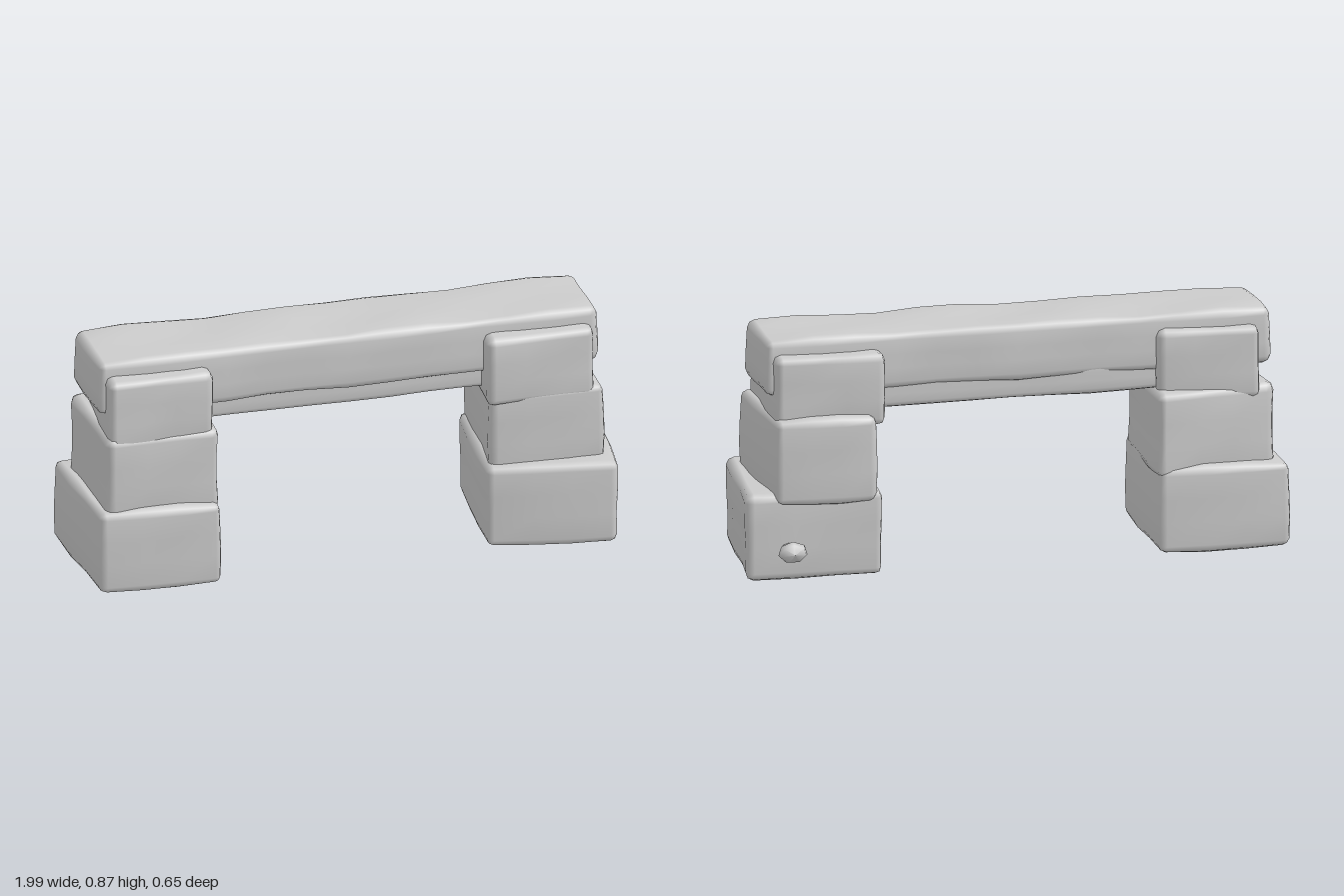
import * as THREE from 'three';
import { mergeVertices } from 'three/addons/utils/BufferGeometryUtils.js';

const material = new THREE.MeshStandardMaterial({ color: 0xcccccc, roughness: 0.9 });

// Worn stone: rounded block on a four-sided footprint.
// corners: [x, z] of back-left, back-right, front-right, front-left in plan.
function stone(name, corners, y0, y1, seed, segX = 5, round = 0.035, wear = 0.016) {
  const [a, b, c, d] = corners;
  const size = [
    (b[0] + c[0] - a[0] - d[0]) / 2,
    y1 - y0,
    (c[1] + d[1] - a[1] - b[1]) / 2,
  ];
  const box = new THREE.BoxGeometry(1, 1, 1, segX, 5, 5);
  box.deleteAttribute('normal');
  box.deleteAttribute('uv');
  const geo = mergeVertices(box);
  const pos = geo.attributes.position;
  const segs = [segX, 5, 5];
  const p = new THREE.Vector3(), inner = new THREE.Vector3();
  for (let i = 0; i < pos.count; i++) {
    p.fromBufferAttribute(pos, i);
    ['x', 'y', 'z'].forEach((k, n) => {
      // Outermost grid lines sit where the rounding starts
      const step = Math.round((p[k] + 0.5) * segs[n]);
      const h = size[n] / 2, flat = h - round;
      if (step === 0) p[k] = -h;
      else if (step === segs[n]) p[k] = h;
      else p[k] = -flat + (2 * flat * (step - 1)) / (segs[n] - 2);
      inner[k] = THREE.MathUtils.clamp(p[k], -flat, flat);
    });
    const out = p.clone().sub(inner).normalize();
    const dent = Math.sin(p.x * 13 + seed) * Math.sin(p.y * 17 + seed * 2.3) + Math.sin(p.z * 15 + p.x * 9 + seed * 1.7);
    p.copy(inner).addScaledVector(out, round - wear * (0.5 + 0.25 * dent));
    // Map onto the footprint
    const u = p.x / size[0] + 0.5, w = p.z / size[2] + 0.5;
    const mix = (n) => (a[n] * (1 - u) + b[n] * u) * (1 - w) + (d[n] * (1 - u) + c[n] * u) * w;
    pos.setXYZ(i, mix(0), p.y + (y0 + y1) / 2, mix(1));
  }
  geo.computeVertexNormals();
  const mesh = new THREE.Mesh(geo, material);
  mesh.name = name;
  return mesh;
}

export function createModel() {
  const model = new THREE.Group();
  model.name = 'stoneGate';

  // Two pillars of three stacked stones: name, footprint, bottom, top
  const pillars = {
    rightPillar: [
      ['baseStone', [[-1.005, -0.265], [-0.505, -0.245], [-0.505, 0.305], [-0.965, 0.275]], -0.005, 0.325],
      ['middleStone', [[-0.955, -0.19], [-0.505, -0.25], [-0.505, 0.265], [-0.93, 0.255]], 0.27, 0.6],
      ['topStone', [[-0.9, -0.215], [-0.52, -0.18], [-0.525, 0.25], [-0.925, 0.255]], 0.54, 0.82],
    ],
    leftPillar: [
      ['baseStone', [[0.495, -0.265], [1.005, -0.23], [0.945, 0.335], [0.465, 0.255]], -0.005, 0.325],
      ['middleStone', [[0.52, -0.275], [0.9, -0.255], [0.925, 0.255], [0.485, 0.225]], 0.27, 0.6],
      ['topStone', [[0.48, -0.235], [0.89, -0.21], [0.885, 0.245], [0.475, 0.25]], 0.54, 0.82],
    ],
  };
  let seed = 1;
  for (const [name, stones] of Object.entries(pillars)) {
    const pillar = new THREE.Group();
    pillar.name = name;
    for (const s of stones) pillar.add(stone(...s, seed++));
    model.add(pillar);
  }

  // Long beam across the top, with a slimmer slab under its span
  model.add(stone('beam', [[-0.955, -0.155], [0.915, -0.155], [0.91, 0.185], [-0.945, 0.185]], 0.65, 0.872, 8, 14));
  model.add(stone('beamUnderside', [[-0.6, -0.14], [0.6, -0.14], [0.6, 0.15], [-0.6, 0.15]], 0.582, 0.72, 9, 10, 0.025, 0.01));

  // Small knob on the back of one base stone
  const profile = [[0, -0.02], [0.02, 0], [0.022, 0.05], [0.042, 0.085], [0.034, 0.11], [0, 0.125]];
  const knob = new THREE.Mesh(
    new THREE.LatheGeometry(profile.map(([r, y]) => new THREE.Vector2(r, y)), 7),
    material,
  );
  knob.name = 'knob';
  knob.rotation.x = -Math.PI / 2;
  knob.position.set(0.845, 0.122, -0.208);
  knob.scale.set(1.3, 1, 0.95);
  model.add(knob);

  return model;
}
